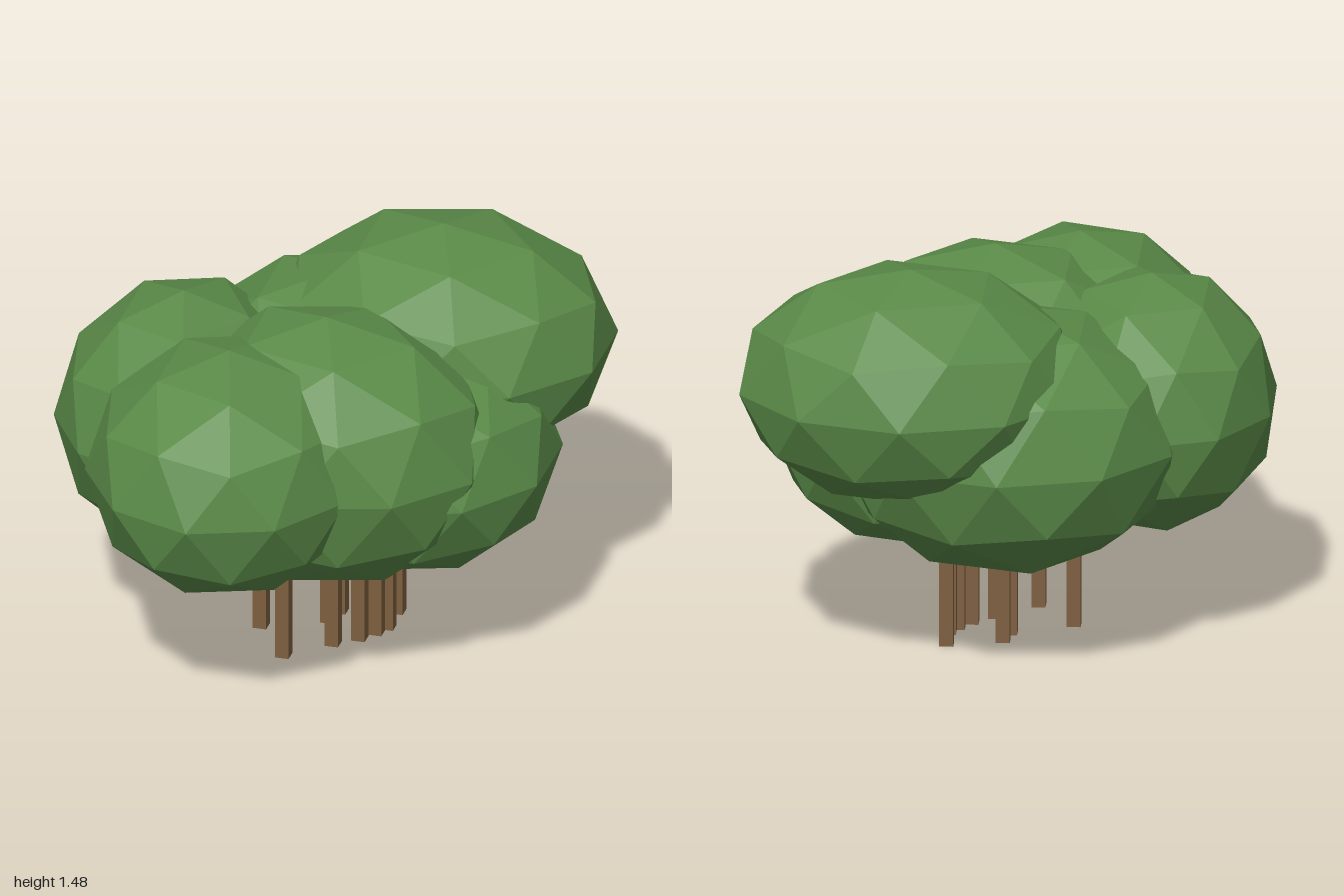
import * as THREE from 'three';

export function createModel() {
  const group = new THREE.Group();
  const leafMaterial = new THREE.MeshStandardMaterial({ color: 0x5a8a48, flatShading: true });
  const barkMaterial = new THREE.MeshStandardMaterial({ color: 0x7d5f40, flatShading: true });

  // Faceted ball with a vertex at each pole and an upper ring vertex on +x
  const ball = new THREE.IcosahedronGeometry(1, 1);
  ball.rotateZ(-Math.atan(2 / (1 + Math.sqrt(5))));

  // Foliage clumps: centre, then radii
  const clumps = {
    backRightFoliage: [[0.33, 1.05, -0.45], [0.63, 0.43, 0.55]],
    frontFoliage: [[-0.215, 0.875, 0.43], [0.51, 0.455, 0.57]],
    sideFoliage: [[-0.5, 0.85, 0.015], [0.457, 0.475, 0.54]],
    centreFoliage: [[0.07, 0.864, 0.16], [0.615, 0.506, 0.53]],
    lowerFoliage: [[0.31, 0.767, -0.075], [0.547, 0.432, 0.555]],
    backLeftFoliage: [[-0.01, 0.818, -0.34], [0.63, 0.492, 0.555]],
  };
  for (const [name, [centre, radii]] of Object.entries(clumps)) {
    const clump = new THREE.Mesh(ball, leafMaterial);
    clump.name = name;
    clump.position.set(...centre);
    clump.scale.set(...radii);
    group.add(clump);
  }

  // Thin square trunks, running up into the foliage: x, z
  const trunkHeight = 0.7;
  const trunkGeometry = new THREE.BoxGeometry(0.05, trunkHeight, 0.05);
  const trunkSpots = [
    [-0.085, 0.175], [-0.225, -0.025], [0.06, 0.04],
    [-0.005, -0.13], [0.14, -0.025], [0.015, -0.212],
    [0.185, -0.085], [0.213, -0.137], [0.213, -0.265],
  ];
  trunkSpots.forEach(([x, z], i) => {
    const trunk = new THREE.Mesh(trunkGeometry, barkMaterial);
    trunk.name = `trunk${i + 1}`;
    trunk.position.set(x, trunkHeight / 2, z);
    group.add(trunk);
  });

  return group;
}
